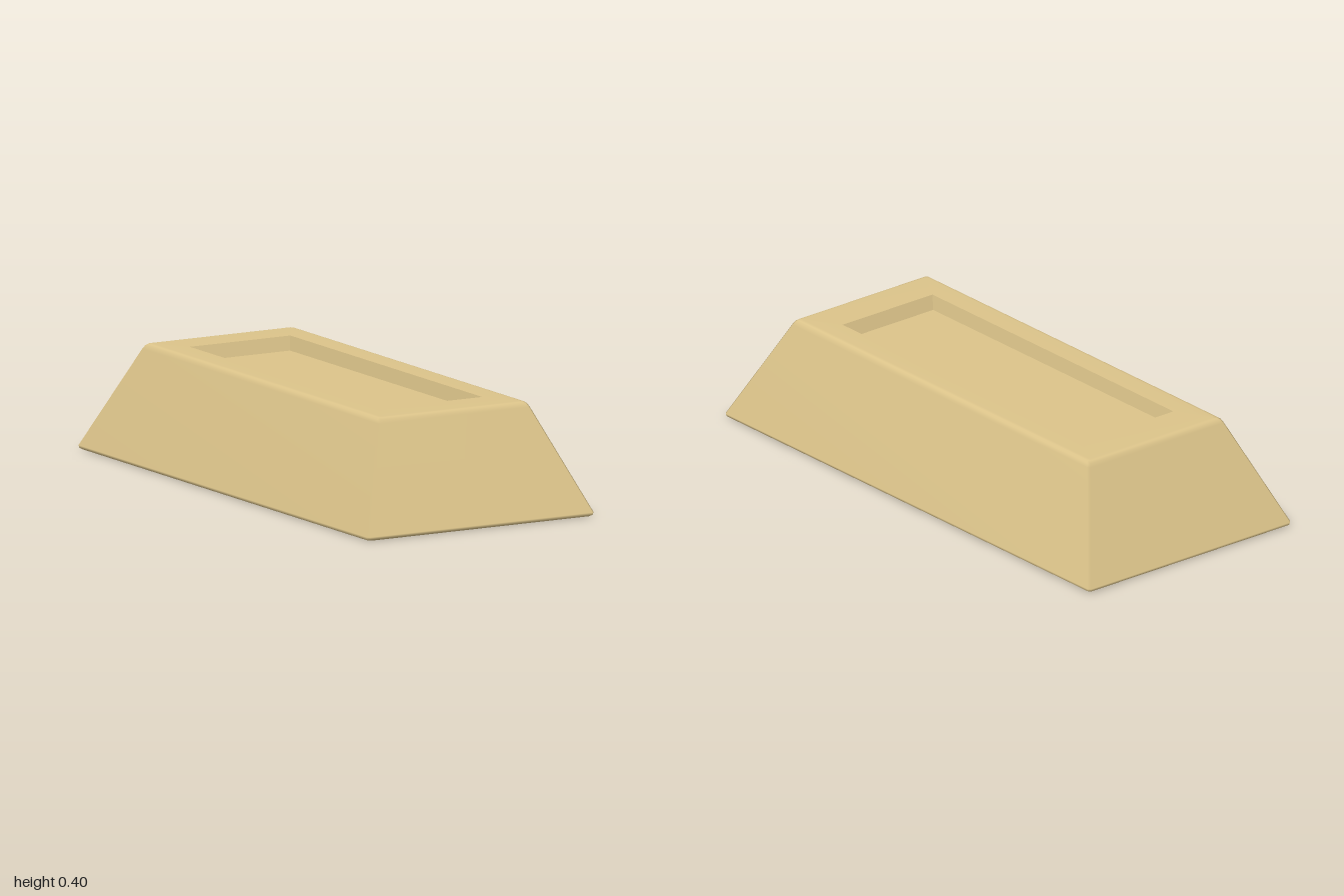
import * as THREE from 'three';

// Rectangular loop with chamfered corners: half width, half length, height, chamfer
function ring([hx, hz, y, c]) {
  return [
    [hx, -hz + c], [hx, hz - c], [hx - c, hz], [-hx + c, hz],
    [-hx, hz - c], [-hx, -hz + c], [-hx + c, -hz], [hx - c, -hz],
  ].map(([x, z]) => [x, y, z]);
}

// Skin a stack of loops, listed from the underside outwards, up and over
function loft(sections) {
  const positions = sections.flatMap(ring).flat();
  const index = [];
  for (let i = 0; i < sections.length - 1; i++) {
    for (let j = 0; j < 8; j++) {
      const a = i * 8 + j, b = i * 8 + (j + 1) % 8;
      index.push(a, a + 8, b + 8, a, b + 8, b);
    }
  }
  const geometry = new THREE.BufferGeometry();
  geometry.setAttribute('position', new THREE.Float32BufferAttribute(positions, 3));
  geometry.setIndex(index);
  geometry.computeVertexNormals();
  return geometry;
}

export function createModel() {
  const group = new THREE.Group();
  group.name = 'ingot';
  const gold = new THREE.MeshStandardMaterial({ color: 0xdcc48a });
  gold.name = 'pale gold';

  const add = (name, geometry) => {
    const mesh = new THREE.Mesh(geometry, gold);
    mesh.name = name;
    group.add(mesh);
  };

  // Tapered bar with softened edges and an open rim on top
  add('bar', loft([
    [0.452, 0.99, 0, 0.008],
    [0.46, 0.998, 0.005, 0.008],
    [0.462, 1, 0.014, 0.008],
    [0.311, 0.815, 0.375, 0.008],
    [0.304, 0.808, 0.387, 0.008],
    [0.296, 0.8, 0.393, 0.008],
    [0.285, 0.789, 0.395, 0.008],
    [0.205, 0.66, 0.395, 0],
  ]));

  // Flat underside
  const base = loft([[0, 0, 0, 0], [0.452, 0.99, 0, 0.008]]);
  add('underside', base);

  // Recessed panel: slightly sloping walls and a flat floor, all crisp
  const recess = loft([
    [0.205, 0.66, 0.395, 0],
    [0.194, 0.643, 0.345, 0],
    [0, 0, 0.345, 0],
  ]).toNonIndexed();
  recess.computeVertexNormals();
  add('recess', recess);

  return group;
}
